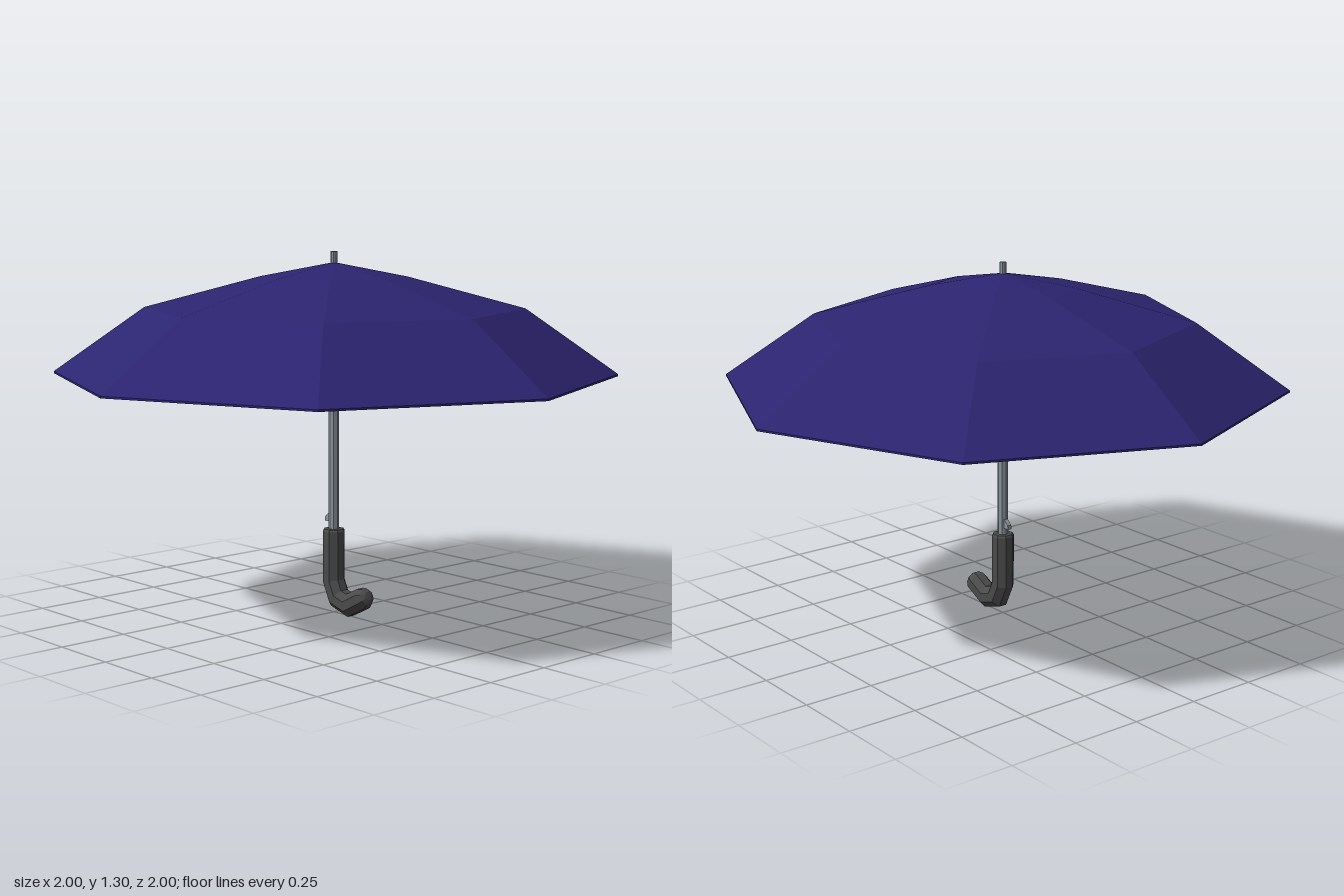
import * as THREE from 'three';

const mat = (color, side = THREE.FrontSide) =>
  new THREE.MeshStandardMaterial({ color, flatShading: true, side });

const V = (x, y) => new THREE.Vector2(x, y);

// Faceted tube along a path in the YZ plane; each station is [z, y, radius], mitred at the bends
function facetedTube(stations, sides) {
  const pos = [], idx = [];
  const P = stations.map(([z, y]) => new THREE.Vector3(0, y, z));
  const X = new THREE.Vector3(1, 0, 0);
  stations.forEach(([, , r], i) => {
    const before = P[i].clone().sub(P[Math.max(i - 1, 0)]).normalize();
    const after = P[Math.min(i + 1, P.length - 1)].clone().sub(P[i]).normalize();
    const T = before.clone().add(after).normalize();
    const N = T.clone().cross(X);
    const miter = 1 / Math.max(T.dot(i ? before : after), 0.7);
    for (let j = 0; j < sides; j++) {
      const a = ((j + 0.5) / sides) * Math.PI * 2;
      const p = P[i].clone().addScaledVector(X, Math.cos(a) * r).addScaledVector(N, Math.sin(a) * r * miter);
      pos.push(p.x, p.y, p.z);
    }
  });
  for (let i = 0; i < stations.length - 1; i++) {
    for (let j = 0; j < sides; j++) {
      const k = (j + 1) % sides;
      const a = i * sides + j, b = i * sides + k, c = b + sides, d = a + sides;
      idx.push(a, b, c, a, c, d);
    }
  }
  const g = new THREE.BufferGeometry();
  g.setAttribute('position', new THREE.Float32BufferAttribute(pos, 3));
  g.setIndex(idx);
  g.computeVertexNormals();
  return g;
}

export function createModel() {
  const group = new THREE.Group();
  const add = (name, geometry, material) => {
    const mesh = new THREE.Mesh(geometry, material);
    mesh.name = name;
    group.add(mesh);
    return mesh;
  };
  const metal = mat(0x8c969e);

  // Eight-panel canopy: a thin shell, underside first, then back down the outside
  const outer = [V(1, 0.872), V(0.672, 1.102), V(0.26, 1.212), V(0, 1.262)];
  const inner = [V(0, 1.252), V(0.26, 1.202), V(0.668, 1.093), V(0.995, 0.865)];
  add('canopy', new THREE.LatheGeometry([...outer, ...inner, V(1, 0.865), outer[0]].reverse(), 8),
    mat(0x2c2470, THREE.DoubleSide));

  // Shaft and the thin tip above the canopy
  const shaft = add('shaft', new THREE.CylinderGeometry(0.019, 0.019, 0.97, 8), metal);
  shaft.position.y = 0.765;
  const tip = add('tip', new THREE.CylinderGeometry(0.012, 0.012, 0.06, 8), metal);
  tip.position.y = 1.27;

  // Wedge-shaped release catch on the back of the shaft
  const wedge = new THREE.Shape([V(0.015, 0.37), V(0.015, 0.335), V(0.04, 0.335), V(0.038, 0.35)]);
  const catchGeometry = new THREE.ExtrudeGeometry(wedge, { depth: 0.016, bevelEnabled: false });
  catchGeometry.translate(0, 0, -0.008).rotateY(Math.PI / 2);
  add('releaseCatch', catchGeometry, metal);

  // Hooked grip curving to the front, with chamfered top and rounded end
  add('handle', facetedTube([
    [0, 0.311, 0], [0, 0.3105, 0.036], [0, 0.303, 0.041],
    [0, 0.12, 0.041], [0.028, 0.062, 0.041], [0.086, 0.045, 0.041],
    [0.155, 0.081, 0.041], [0.173, 0.09, 0.031], [0.181, 0.094, 0.016], [0.182, 0.0945, 0],
  ], 8), mat(0x4a4a4a));

  return group;
}
